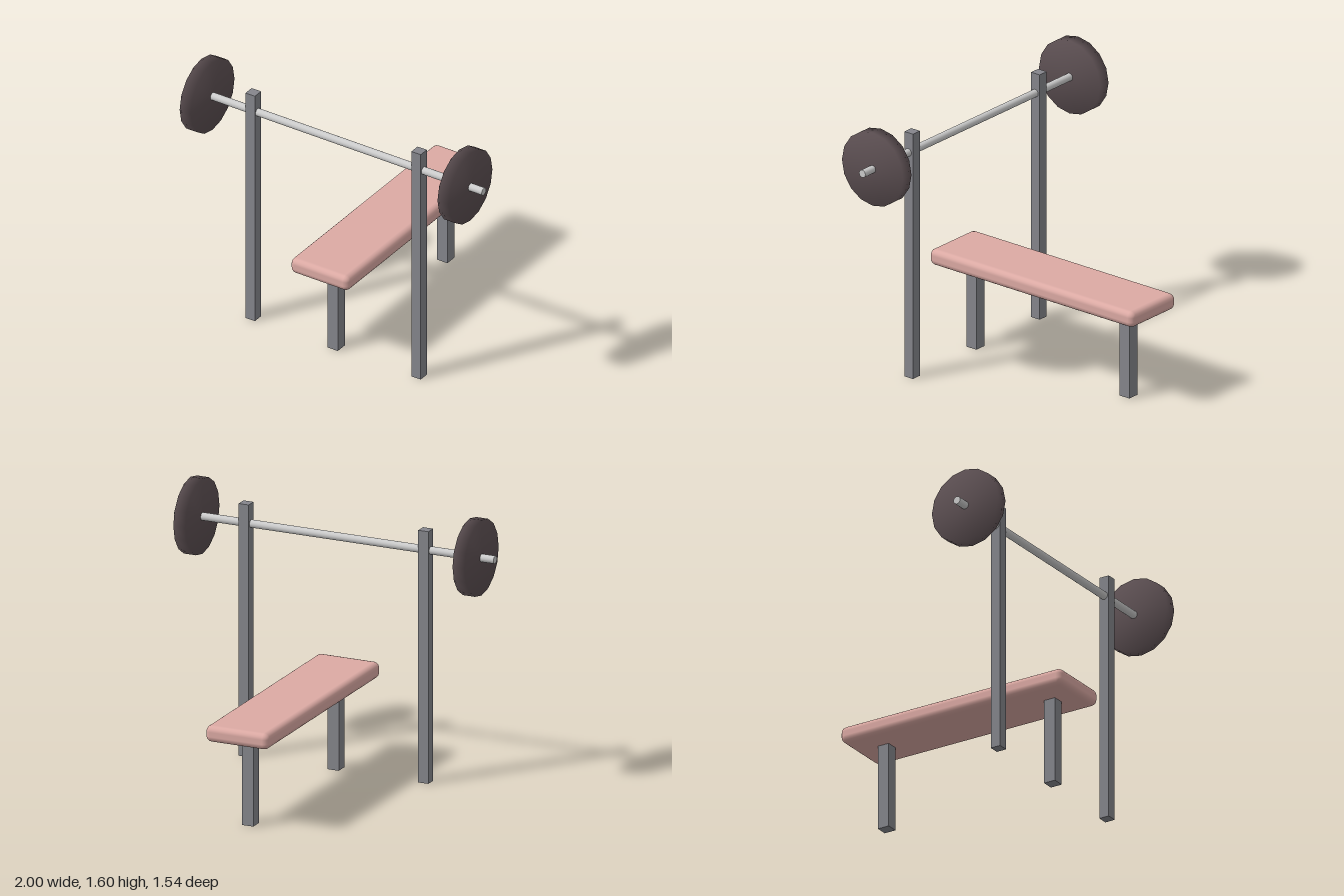
import * as THREE from 'three';
import { RoundedBoxGeometry } from 'three/addons/geometries/RoundedBoxGeometry.js';
import { mergeVertices } from 'three/addons/utils/BufferGeometryUtils.js';

const paint = (color, flatShading = false) => new THREE.MeshStandardMaterial({ color, flatShading });

export function createModel() {
  const group = new THREE.Group();
  const steel = paint(0x85868c, true);
  const chrome = paint(0xcccccc);
  const iron = paint(0x5c4f52);
  const leather = paint(0xdcaaa4);

  const add = (name, geometry, material, x, y, z) => {
    const mesh = new THREE.Mesh(geometry, material);
    mesh.name = name;
    mesh.position.set(x, y, z);
    group.add(mesh);
    return mesh;
  };

  const midX = -0.003;      // centre line of bench and rack
  const barY = 1.38, barZ = 0.545;

  // Padded bench with softened edges
  add('benchPad', new RoundedBoxGeometry(0.395, 0.097, 1.493, 2, 0.035), leather, midX, 0.5635, -0.0215);

  // Bench legs, front and back
  const legGeometry = new THREE.BoxGeometry(0.071, 0.53, 0.073);
  add('frontLeg', legGeometry, steel, midX, 0.265, 0.544);
  add('backLeg', legGeometry, steel, midX, 0.265, -0.577);

  // Barbell bar
  const barGeometry = new THREE.CylinderGeometry(0.023, 0.023, 2, 16).rotateZ(Math.PI / 2);
  add('bar', barGeometry, chrome, 0, barY, barZ);

  // Weight plate with normals shared across rim and faces
  let plateGeometry = new THREE.CylinderGeometry(0.224, 0.224, 0.075, 16).rotateZ(Math.PI / 2);
  plateGeometry.deleteAttribute('normal');
  plateGeometry.deleteAttribute('uv');
  plateGeometry = mergeVertices(plateGeometry);
  plateGeometry.computeVertexNormals();

  // Uprights and plates, mirrored
  const uprightGeometry = new THREE.BoxGeometry(0.063, 1.5, 0.063);
  for (const [side, s] of [['left', 1], ['right', -1]]) {
    add(side + 'Upright', uprightGeometry, steel, midX + s * 0.5625, 0.75, 0.543);
    add(side + 'Plate', plateGeometry, iron, midX + s * 0.8745, barY, barZ);
  }

  return group;
}
